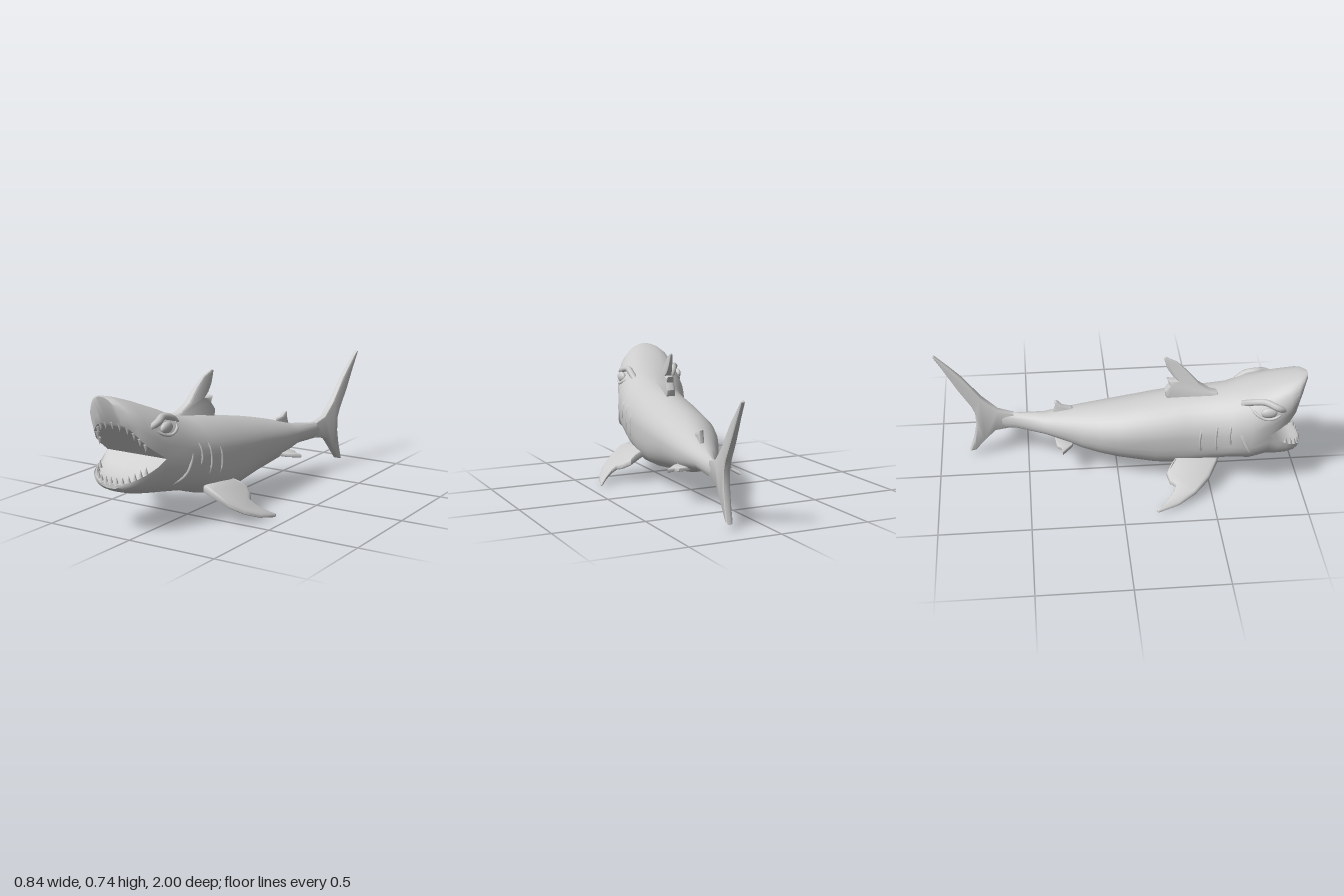
import * as THREE from 'three';
import { mergeGeometries, toCreasedNormals } from 'three/addons/utils/BufferGeometryUtils.js';

const material = new THREE.MeshStandardMaterial({ color: 0xcccccc });
const SIDES = [1, -1];
const HALF = 16; // segments in half a body ring

// Body stations: z, centre x, half width, top y, upper lip y, lower lip y, bottom y.
// Behind the mouth corner both lips meet in one seam.
const tail = [
  [-0.64, 0.167, 0.018, 0.31, 0.26, 0.21], [-0.56, 0.155, 0.03, 0.308, 0.26, 0.212],
  [-0.4, 0.107, 0.072, 0.33, 0.27, 0.21], [-0.3, 0.085, 0.1, 0.36, 0.275, 0.185],
  [-0.2, 0.06, 0.13, 0.39, 0.28, 0.155], [-0.1, 0.037, 0.154, 0.416, 0.29, 0.136],
  [0, 0.02, 0.172, 0.44, 0.3, 0.12], [0.2, 0.006, 0.188, 0.483, 0.315, 0.1],
  [0.35, -0.003, 0.19, 0.512, 0.33, 0.093], [0.5, -0.022, 0.195, 0.535, 0.345, 0.128],
  [0.6, -0.047, 0.206, 0.557, 0.36, 0.163], [0.7, -0.077, 0.219, 0.607, 0.375, 0.175],
  [0.8, -0.095, 0.208, 0.65, 0.387, 0.185],
].map(([z, c, w, top, seam, bottom]) => [z, c, w, top, seam, seam, bottom]);
const jaws = [
  [0.85, -0.105, 0.196, 0.672, 0.425, 0.35, 0.195],
  [0.9, -0.115, 0.178, 0.69, 0.467, 0.322, 0.207],
  [0.95, -0.12, 0.153, 0.704, 0.515, 0.303, 0.222],
  [0.98, -0.12, 0.118, 0.711, 0.55, 0.288, 0.235],
  [1.0, -0.12, 0.07, 0.71, 0.573, 0.278, 0.25],
];
const stations = [...tail, ...jaws];
const step = THREE.MathUtils.smoothstep;

function stationAt(z) {
  let i = 0;
  while (i < stations.length - 2 && stations[i + 1][0] < z) i++;
  const a = stations[i], b = stations[i + 1], f = (z - a[0]) / (b[0] - a[0]);
  return a.map((v, k) => v + (b[k] - v) * f);
}

// Roundness of a half ring: boxier at the head and under the belly
const power = (z, upper) => (upper ? 1.9 + 0.6 * step(z, 0.55, 0.8)
  : 2.3 + 0.6 * step(z, 0, 0.25) * (1 - step(z, 0.6, 0.8)));

// Point on the skin: h is -1..1 across the half width, t is 0 at the seam and 1 at the ridge
function skin([z, c, w, top, up, low, bottom], h, t, upper) {
  const lean = upper ? -0.04 * step(z, 0.6, 0.9) * t * t : 0;
  const slant = upper ? -0.03 * step(z, 0.9, 1) * (1 - t) : -0.01 * step(z, 0.9, 1);
  const pinch = 1 - 0.11 * step(z, 0.7, 0.8) * (1 - (upper ? step(t, 0, 0.45) : 0));
  const y = upper ? up + (top - up) * t : low + (bottom - low) * t;
  return new THREE.Vector3(c + w * h * pinch + lean, y, z + slant);
}

function halfRing(s, upper) {
  const e = 2 / power(s[0], upper);
  return Array.from({ length: HALF + 1 }, (_, i) => {
    const a = Math.PI * i / HALF, cos = Math.cos(a) * (upper ? 1 : -1);
    const t = i % HALF ? Math.sin(a) ** e : 0;
    return skin(s, Math.sign(cos) * Math.abs(cos) ** e, t, upper);
  });
}

// Inside of one jaw: runs from lip to lip with a slight hollow
function lining(s, upper) {
  const hollow = 0.03 * step(s[0], 0.8, 0.88) * (1 - step(s[0], 0.93, 1));
  const e = 2 / power(s[0], upper);
  return Array.from({ length: HALF + 1 }, (_, i) => {
    const a = Math.PI * i / HALF, cos = Math.cos(a) * (upper ? -1 : 1);
    const p = skin(s, Math.sign(cos) * Math.abs(cos) ** e, 0, upper);
    return p.setY(p.y + (upper ? hollow : -hollow) * Math.sin(a));
  });
}

function loft(rows) {
  const n = rows[0].length, index = [];
  for (let r = 0; r < rows.length - 1; r++) {
    for (let i = 0; i < n - 1; i++) {
      const a = r * n + i, b = a + n;
      index.push(a, a + 1, b, a + 1, b + 1, b);
    }
  }
  const g = new THREE.BufferGeometry().setFromPoints(rows.flat());
  g.setIndex(index);
  return g;
}

// Point on the flank at a given z and height
function flank(z, y, side, lift = 0) {
  const s = stationAt(z), upper = y > s[4];
  const t = upper ? (y - s[4]) / (s[3] - s[4]) : (s[5] - y) / (s[5] - s[6]);
  const n = power(z, upper);
  const p = skin(s, side * Math.max(0, 1 - t ** n) ** (1 / n), t, upper);
  return p.setX(p.x + side * lift).setZ(z);
}

export function createModel() {
  const model = new THREE.Group();
  const add = (name, geometry, parent = model) => {
    const mesh = new THREE.Mesh(geometry, material);
    mesh.name = name;
    parent.add(mesh);
    return mesh;
  };

  // Body, both jaws and the mouth lining
  const sheets = [];
  for (const upper of [true, false]) {
    const rings = stations.map(s => halfRing(s, upper));
    const inner = [tail.at(-1), ...jaws].map(s => lining(s, upper));
    rings.push([...inner.at(-1)].reverse()); // closes the blunt front
    sheets.push(loft(rings), loft(inner));
  }
  add('body', toCreasedNormals(mergeGeometries(sheets), 0.7));

  // Fins: bevelled outlines, each placed by its own mapping of (a, b, thickness)
  function fin(name, outline, thick, bevel, place) {
    const shape = new THREE.Shape(outline.map(p => new THREE.Vector2(...p)));
    const g = new THREE.ExtrudeGeometry(shape, {
      depth: thick * 0.4, bevelThickness: thick * 0.3, bevelSize: bevel, bevelOffset: -bevel, bevelSegments: 2,
    }).translate(0, 0, -thick * 0.2);
    const pos = g.attributes.position;
    for (let i = 0; i < pos.count; i++) {
      pos.setXYZ(i, ...place(pos.getX(i), pos.getY(i), pos.getZ(i)));
    }
    return add(name, toCreasedNormals(g, 0.7));
  }

  fin('dorsalFin', [[0.56, 0.5], [0.54, 0.542], [0.5, 0.55], [0.44, 0.59], [0.38, 0.66], [0.32, 0.715], [0.26, 0.742],
    [0.25, 0.735], [0.27, 0.67], [0.3, 0.625], [0.326, 0.604], [0.285, 0.602], [0.268, 0.605], [0.285, 0.57],
    [0.258, 0.53], [0.265, 0.49], [0.3, 0.45]],
  0.056, 0.008, (z, y, t) => [-0.2 * (z - 0.25) - t * (1 - 0.75 * step(y, 0.5, 0.76)), y, z]);

  fin('rearDorsalFin', [[-0.23, 0.36], [-0.25, 0.383], [-0.3, 0.39], [-0.33, 0.415], [-0.342, 0.412], [-0.34, 0.385], [-0.355, 0.33]],
    0.026, 0.005, (z, y, t) => [0.1 - 0.2 * (z + 0.32) - t, y, z]);

  fin('tailFin', [[-0.57, 0.305], [-0.66, 0.328], [-0.75, 0.41], [-0.85, 0.54], [-0.93, 0.62], [-0.99, 0.677], [-1, 0.67],
    [-0.95, 0.585], [-0.88, 0.46], [-0.81, 0.35], [-0.79, 0.3], [-0.788, 0.22], [-0.805, 0.13], [-0.836, 0.035],
    [-0.8, 0.045], [-0.74, 0.12], [-0.68, 0.19], [-0.57, 0.218]],
  0.04, 0.009, (z, y, t) => [0.162 - 0.13 * (z + 0.58) - t * (1 - 0.45 * step(Math.abs(y - 0.26), 0.1, 0.42)), y, z]);

  for (const s of SIDES) {
    const side = s > 0 ? 'left' : 'right';
    // The right pectoral fin sweeps further back than the left
    const sweep = s > 0 ? 0 : 0.42;
    fin(side + 'PectoralFin', [[0.13, 0.54], [0.19, 0.55], [0.27, 0.53], [0.34, 0.475], [0.39, 0.4], [0.42, 0.3], [0.415, 0.288],
      [0.37, 0.33], [0.33, 0.352], [0.3, 0.355], [0.28, 0.315], [0.24, 0.285], [0.2, 0.295], [0.13, 0.32]],
    0.048, 0.012, (a, z, t) => [
      s * a, 0.172 - Math.max(0, a - 0.165) * 0.63 - s * t * (1 - 0.6 * step(a, 0.16, 0.42)), z - sweep * (a - 0.16)]);

    // Small pelvic fins sit low on the rear flanks
    const root = flank(-0.24, 0.2, s).x + (s > 0 ? 0 : 0.03);
    fin(side + 'PelvicFin', [[-0.03, 0.06], [0.04, 0.035], [0.1, -0.02], [0.06, -0.025], [0.045, -0.05], [-0.03, -0.06]],
      0.022, 0.005, (a, z, t) => [root + s * a, 0.2 - a * 0.1 - s * t, z - 0.23 - (s < 0 ? 0.06 : 0)]);

    // Eye under a heavy brow, with a thin lower lid
    const eye = add(side + 'Eye', new THREE.SphereGeometry(1, 20, 14));
    eye.scale.set(0.02, 0.03, 0.045);
    eye.position.copy(flank(0.785, 0.542, s));
    // Ridges sink into the skin at both ends
    const ridge = (name, pts, r, lift) => add(name, new THREE.TubeGeometry(
      new THREE.CatmullRomCurve3(pts.map(([z, y], i) => flank(z, y, s, i % (pts.length - 1) ? lift : -1.3 * r))), 24, r, 8));
    ridge(side + 'Brow', [[0.88, 0.545], [0.83, 0.575], [0.77, 0.59], [0.71, 0.575], [0.66, 0.54]], 0.019, 0.006);
    ridge(side + 'LowerLid', [[0.86, 0.545], [0.82, 0.515], [0.77, 0.505], [0.72, 0.525], [0.69, 0.55]], 0.008, -0.002);
    ridge(side + 'JawFold', [[0.63, 0.46], [0.66, 0.36], [0.7, 0.28], [0.77, 0.21]], 0.012, -0.007);

    // Gill slits
    [[0.6, 0.375, 0.065], [0.53, 0.34, 0.1], [0.445, 0.315, 0.08]].forEach(([z, y, h], i) => {
      ridge(side + 'GillSlit' + (i + 1), [-1, -0.5, 0, 0.5, 1].map(k => [z - 0.012 * (1 - k * k), y + k * h]), 0.007, -0.002);
    });
  }

  // Teeth along both lips
  for (const upper of [true, false]) {
    const row = new THREE.Group();
    row.name = upper ? 'upperTeeth' : 'lowerTeeth';
    model.add(row);
    const lip = h => jaws.map(s => skin(s, h, 0, upper));
    const path = new THREE.CatmullRomCurve3([...lip(0.9), ...lip(-0.9).reverse()]);
    const count = upper ? 11 : 13;
    for (let i = 0; i < count; i++) {
      const tooth = add('tooth', new THREE.ConeGeometry(0.013, 0.04, 7), row);
      tooth.position.copy(path.getPointAt(0.12 + 0.76 * i / (count - 1)));
      tooth.position.y += upper ? -0.016 : 0.014;
      tooth.position.z -= 0.01;
      if (upper) tooth.rotation.x = Math.PI;
    }
  }
  return model;
}
